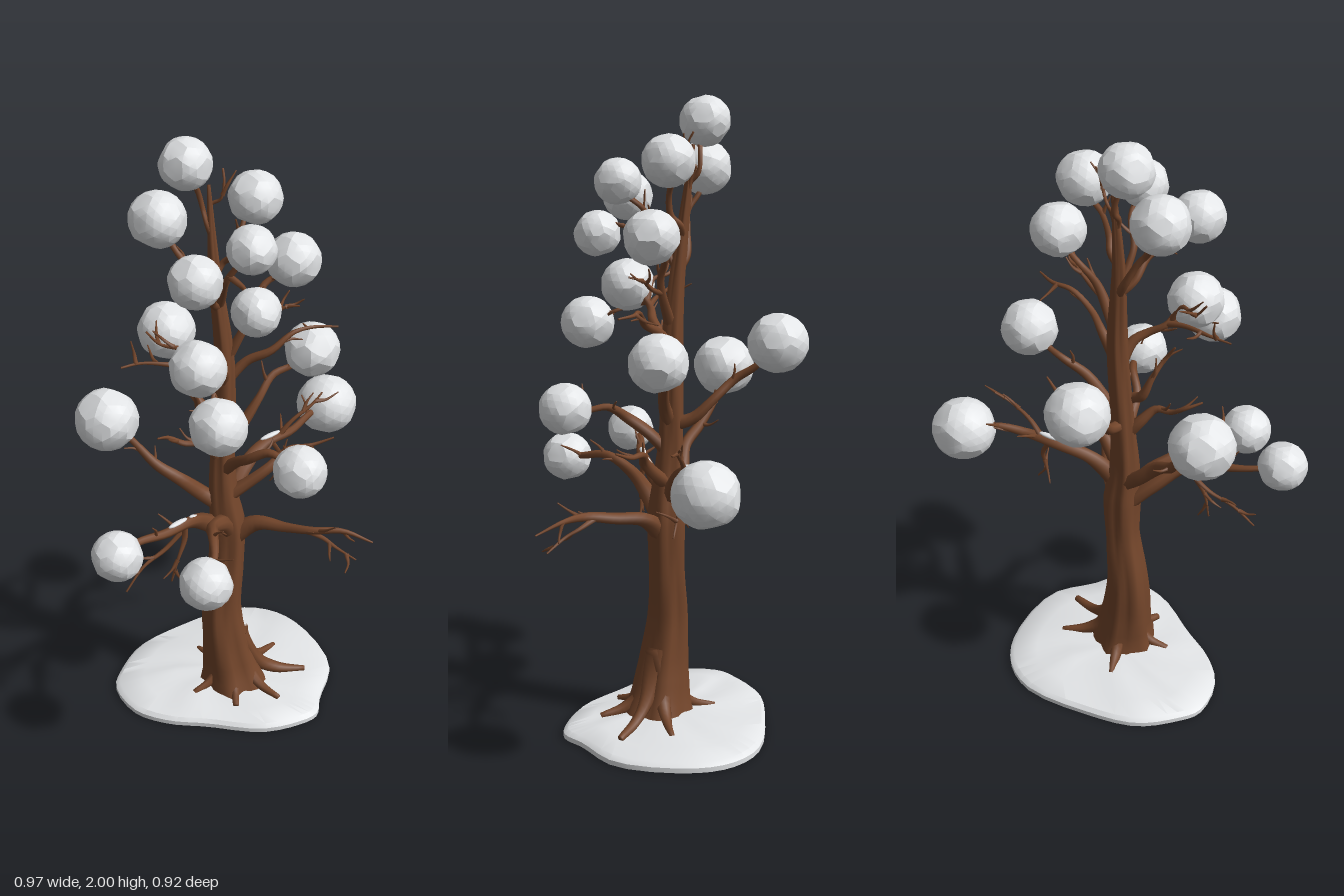
import * as THREE from 'three';
import { toCreasedNormals } from 'three/addons/utils/BufferGeometryUtils.js';

const V = (x, y, z) => new THREE.Vector3(x, y, z);

function makeRandom(seed) {
  return () => {
    seed = (seed * 16807) % 2147483647;
    return seed / 2147483647;
  };
}

// Skins stacked rings of n points that run counter-clockwise seen from the last ring
function loft(rings, n) {
  const idx = [];
  for (let i = 0; i < rings.length - 1; i++) {
    for (let j = 0; j < n; j++) {
      const k = (j + 1) % n, o = i * n, q = o + n;
      idx.push(o + j, o + k, q + j, o + k, q + k, q + j);
    }
  }
  const g = new THREE.BufferGeometry().setFromPoints(rings.flat());
  g.setIndex(idx);
  g.computeVertexNormals();
  return g;
}

// Tapered tube along a curve; radius(t, angle) shapes the bark
function limbGeometry(curve, radius, sides, steps) {
  const { normals, binormals } = curve.computeFrenetFrames(steps, false);
  const ring = (i, scale) => Array.from({ length: sides }, (_, j) => {
    const a = (j / sides) * Math.PI * 2, r = radius(i / steps, a) * scale;
    return curve.getPointAt(i / steps).addScaledVector(normals[i], Math.cos(a) * r).addScaledVector(binormals[i], Math.sin(a) * r);
  });
  const rings = Array.from({ length: steps + 1 }, (_, i) => ring(i, 1));
  rings.push(ring(steps, 0));
  return loft(rings, sides);
}

// Snowball with soft, irregular flats pressed into it
function snowballGeometry(r, rand) {
  const g = new THREE.IcosahedronGeometry(1, 3);
  const p = g.attributes.position, v = V(0, 0, 0);
  const flats = Array.from({ length: 16 }, (_, i) => {
    const y = 1 - (i + 0.5) / 8, a = i * 2.4 + rand() * 0.8, s = Math.sqrt(1 - y * y);
    return { d: V(Math.cos(a) * s, y, Math.sin(a) * s), h: 0.91 + rand() * 0.07 };
  });
  for (let i = 0; i < p.count; i++) {
    v.fromBufferAttribute(p, i);
    for (const { d, h } of flats) v.addScaledVector(d, -Math.max(0, v.dot(d) - h));
    p.setXYZ(i, v.x * r * 1.02, v.y * r * 0.99, v.z * r * 1.02);
  }
  return toCreasedNormals(g, 0.3);
}

// Snow mound: a wavy outline lofted through shrinking rings
function moundGeometry() {
  const outline = [
    [0.07, -0.415], [-0.15, -0.35], [-0.3, -0.27], [-0.38, -0.16], [-0.41, -0.08], [-0.36, 0.05], [-0.26, 0.12],
    [-0.13, 0.16], [0.05, 0.22], [0.18, 0.21], [0.25, 0.18], [0.28, 0.1], [0.35, -0.05], [0.29, -0.28], [0.2, -0.38]];
  const curve = new THREE.CatmullRomCurve3(outline.map(([x, z]) => V(x, 0, z)), true);
  const n = 48, centre = V(-0.02, 0, -0.08);
  const steps = [[0, 0], [1, 0], [1, 0.016], [0.96, 0.028], [0.75, 0.039], [0.45, 0.048], [0, 0.052]];
  const rings = steps.map(([s, y], i) => Array.from({ length: n }, (_, j) => {
    const p = curve.getPoint(j / n).lerp(centre, 1 - s);
    p.y = y + (i > 3 ? 0.005 * Math.sin(j * 0.9 + i * 2) * s : 0);
    return p;
  }));
  return toCreasedNormals(loft(rings, n), 0.6);
}

// Trunk stations: x, y, z, radius
const TRUNK = [
  [0, 0.02, -0.03, 0.115], [-0.01, 0.1, -0.035, 0.09], [-0.025, 0.2, -0.04, 0.076], [-0.037, 0.35, -0.05, 0.064],
  [-0.02, 0.55, -0.055, 0.055], [-0.018, 0.7, -0.055, 0.058], [-0.03, 0.82, -0.055, 0.046], [-0.033, 0.95, -0.06, 0.038],
  [-0.02, 1.3, -0.07, 0.031], [-0.045, 1.6, -0.09, 0.018], [-0.055, 1.86, -0.12, 0.005]];

// Trunk centre and radius at a height
function trunkAt(y) {
  let i = 0;
  while (i < TRUNK.length - 2 && TRUNK[i + 1][1] < y) i++;
  const a = TRUNK[i], b = TRUNK[i + 1];
  const f = THREE.MathUtils.clamp((y - a[1]) / (b[1] - a[1]), 0, 1);
  const [x, , z, r] = a.map((v, k) => v + (b[k] - v) * f);
  return { p: V(x, y, z), r };
}

export function createModel() {
  const bark = new THREE.MeshStandardMaterial({ color: 0x74462b });
  bark.name = 'brown bark';
  const snow = new THREE.MeshStandardMaterial({ color: 0xe2e4e6 });
  snow.name = 'white snow';
  const tree = new THREE.Group();
  tree.name = 'snowyTree';
  const rand = makeRandom(4711);
  const jitter = (s) => V(rand() - 0.5, rand() - 0.35, rand() - 0.5).multiplyScalar(s);

  const add = (name, geometry, material) => {
    const m = new THREE.Mesh(geometry, material);
    m.name = name;
    tree.add(m);
    return m;
  };
  const limb = (name, pts, r0, r1, sides) => {
    const curve = new THREE.CatmullRomCurve3(pts);
    const ph = rand() * 6;
    add(name, limbGeometry(curve, (t, a) =>
      (r0 + (r1 - r0) * Math.pow(t, 0.75)) * (1 + 0.1 * Math.sin(2 * a + t * 9 + ph)), sides, pts.length * 4), bark);
    return curve;
  };

  // Short twigs sprouting from the outer half of a limb
  const addTwigs = (curve, count) => {
    for (let i = 0; i < count; i++) {
      const t = 0.5 + (0.42 * (i + rand() * 0.6)) / count;
      const p = curve.getPointAt(t);
      const d = curve.getTangentAt(t).add(jitter(1.9)).normalize();
      const q = p.clone().addScaledVector(d, 0.035);
      limb('twig', [p, q, q.clone().addScaledVector(d, 0.035).add(jitter(0.03))], 0.008, 0.002, 5);
    }
  };

  // Arched, slightly winding branch from the trunk to an end point
  const branches = [];
  const addBranch = (end, startY, arch, tipRadius) => {
    const { p, r } = trunkAt(startY);
    const side = V(end.z - p.z, 0, p.x - end.x).normalize();
    const ph = rand() * 6;
    const pts = [0, 0.2, 0.4, 0.6, 0.8, 1].map((f) => {
      const bend = Math.sin(Math.PI * f);
      return p.clone().lerp(end, f)
        .add(V(0, arch * Math.sin(Math.PI * Math.pow(f, 0.8)) + 0.015 * bend * Math.sin(f * 9 + ph), 0))
        .addScaledVector(side, 0.022 * bend * Math.sin(f * 7 + ph));
    });
    const curve = limb('branch', pts, r * 0.64, tipRadius, 8);
    addTwigs(curve, Math.round(p.distanceTo(end) * 6));
    branches.push(curve);
  };

  add('groundSnow', moundGeometry(), snow);

  // Fluted trunk
  const trunkCurve = new THREE.CatmullRomCurve3(TRUNK.map(([x, y, z]) => V(x, y, z)));
  add('trunk', limbGeometry(trunkCurve, (t, a) => trunkAt(trunkCurve.getPointAt(t).y).r
    * (1 + 0.07 * Math.sin(5 * a + t * 8) + 0.05 * Math.sin(9 * a - t * 14)), 28, 64), bark);

  // Roots spreading over the mound: end x, end z
  for (const [x, z] of [[0.25, -0.02], [0.17, -0.16], [0.13, 0.11], [-0.02, 0.12], [-0.15, 0.03], [-0.1, -0.19]]) {
    const at = (f, y) => V(x * f, y, -0.035 + (z + 0.035) * f);
    limb('root', [at(0.02, 0.25), at(0.3, 0.11), at(0.6, 0.06), at(1, 0.042)], 0.045, 0.01, 8);
  }

  // Snowballs: x, y, z, radius, then the height and arch of the branch that holds them
  const snowballs = [
    [-0.41, 0.862, 0.266, 0.078, 0.66, 0.07], [-0.16, 0.81, 0.38, 0.081, 0.66, 0.1],
    [0.383, 0.92, -0.36, 0.1, 0.75, 0.085], [-0.137, 1.41, 0.14, 0.085, 1.22, 0.03],
    [0.03, 1.75, 0.09, 0.072, 1.48, 0.02], [0.195, 1.61, -0.1, 0.083, 1.3, 0.04],
    [-0.387, 1.12, -0.09, 0.099, 0.76, -0.02], [0.157, 1.06, 0.212, 0.082, 0.9, 0.06],
    [0.275, 1.26, -0.16, 0.088, 1, 0.03], [-0.157, 1.26, -0.365, 0.094, 1, -0.03],
    [-0.14, 1.69, 0.14, 0.078, 1.48, 0], [-0.21, 1.78, -0.09, 0.085, 1.48, -0.01],
    [0.078, 1.82, -0.1, 0.08, 1.58, -0.01], [-0.12, 1.926, -0.13, 0.078, 1.7, 0],
    [-0.1, 1.285, 0.265, 0.086], [0.03, 1.59, 0.16, 0.072]];
  for (const [x, y, z, r, startY, arch] of snowballs) {
    add('snowball', snowballGeometry(r, rand), snow).position.set(x, y, z);
    if (startY) addBranch(V(x, y, z), startY, arch, 0.007);
  }

  // Bare branches: end point, start height, arch
  for (const [x, y, z, startY, arch] of [
    [0.41, 0.73, 0.18, 0.63, 0.07], [0.33, 0.99, -0.05, 0.8, 0.03], [-0.25, 1.13, 0.06, 0.95, 0.03],
    [0.33, 1.39, -0.06, 1.22, 0.06], [-0.16, 1.3, 0.03, 1.08, -0.03], [-0.01, 1.9, -0.14, 1.72, 0],
  ]) addBranch(V(x, y, z), startY, arch, 0.003);

  // Long forks: parent branch, position along it, end point
  for (const [parent, t, x, y, z] of [
    [0, 0.45, -0.38, 0.65, 0.18], [0, 0.5, -0.23, 0.63, 0.13], [2, 0.5, 0.23, 0.72, -0.19], [2, 0.55, 0.34, 1.03, -0.26],
    [14, 0.55, 0.36, 0.66, 0.17], [3, 0.65, -0.35, 1.39, 0.06], [3, 0.7, -0.27, 1.49, 0.04], [5, 0.35, 0.2, 1.49, -0.03],
    [4, 0.5, 0.03, 1.59, 0.15], [3, 0.7, -0.1, 1.29, 0.23],
  ]) {
    const p = branches[parent].getPointAt(t), end = V(x, y, z);
    const mid = (f) => p.clone().lerp(end, f).add(jitter(0.035));
    addTwigs(limb('fork', [p, mid(0.35), mid(0.7), end], 0.011, 0.003, 6), 2);
  }

  // Slim snow caps lying on the low branches: branch, position along it
  for (const [i, t] of [[0, 0.4], [0, 0.55], [2, 0.5]]) {
    const cap = add('branchSnow', new THREE.SphereGeometry(1, 10, 6).scale(0.01, 0.007, 0.04), snow);
    cap.position.copy(branches[i].getPointAt(t)).y += 0.017;
    cap.lookAt(cap.position.clone().add(branches[i].getTangentAt(t)));
  }

  return tree;
}
